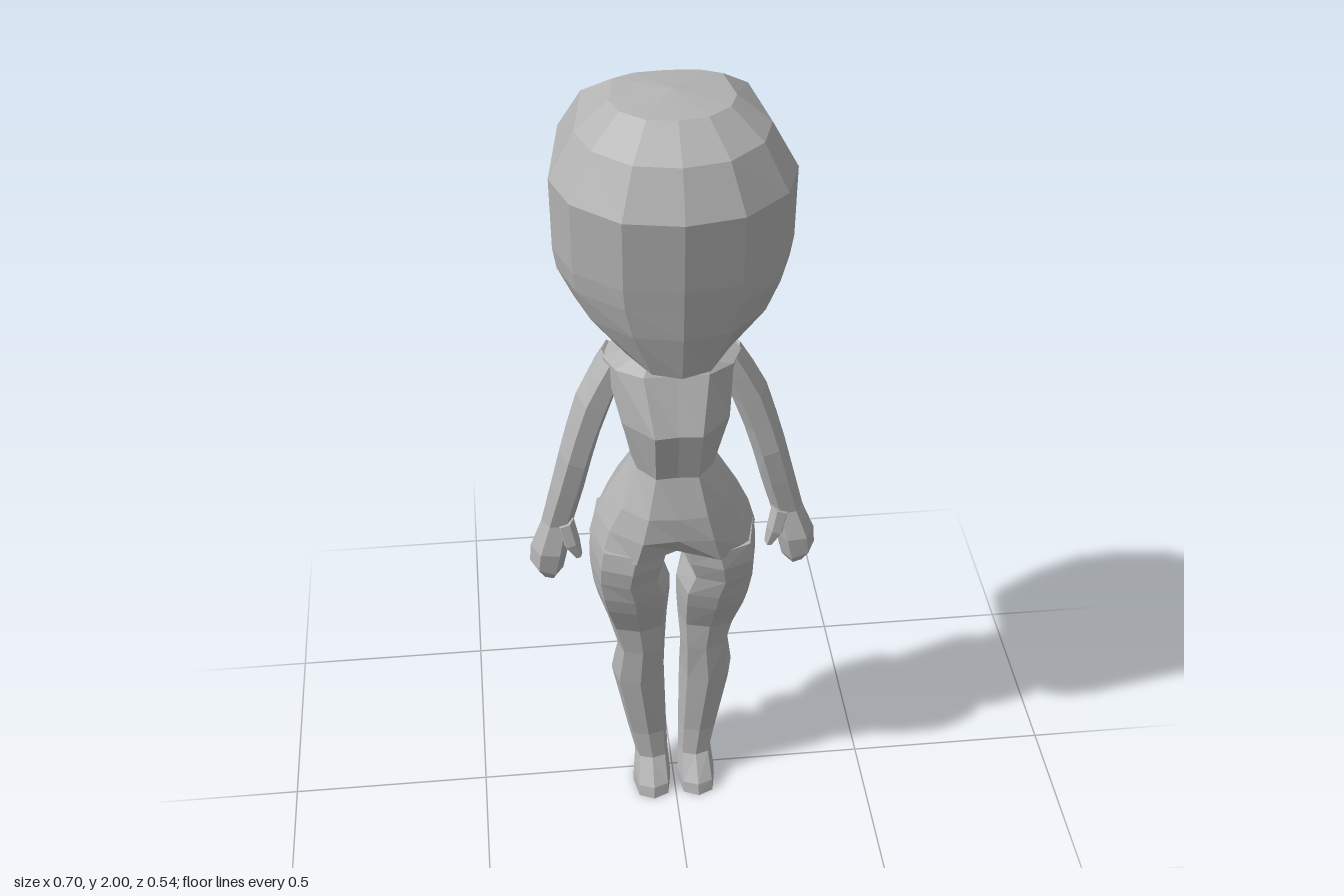
import * as THREE from 'three';

// Faceted skin through closed rings of [x, y, z] points, capped at both ends.
function loft(rings, capLift = 0) {
  const n = rings[0].length;
  const tris = [];
  for (let i = 0; i < rings.length - 1; i++) {
    for (let j = 0; j < n; j++) {
      const k = (j + 1) % n;
      const a = rings[i][j], b = rings[i][k], c = rings[i + 1][k], d = rings[i + 1][j];
      tris.push([a, b, c], [a, c, d]);
    }
  }
  const first = rings[0], last = rings[rings.length - 1];
  const middle = (ring) => [0, 1, 2].map((k) => ring.reduce((s, p) => s + p[k], 0) / n);
  const m0 = middle(first), m1 = middle(last);
  m0[1] += capLift;
  for (let j = 0; j < n; j++) {
    const k = (j + 1) % n;
    tris.push([m0, first[k], first[j]], [m1, last[j], last[k]]);
  }
  // Turn the faces outward whichever way the rings run
  const v = (p) => new THREE.Vector3(...p);
  const volume = tris.reduce((s, [a, b, c]) => s + v(a).dot(v(b).cross(v(c))), 0);
  if (volume < 0) tris.forEach((t) => t.reverse());
  const geometry = new THREE.BufferGeometry();
  geometry.setAttribute('position', new THREE.Float32BufferAttribute(tris.flat(2), 3));
  geometry.computeVertexNormals();
  return geometry;
}

// Half outline from front centre to back centre, mirrored into a full ring
function mirrored(half) {
  const other = half.slice(1, -1).reverse().map(([x, y, z]) => [-x, y, z]);
  return [...half, ...other];
}

// Limb ring between an outer and an inner point, with front and back depth
function limbRing(sides, side, [xo, yo, xi, yi, zf, zb]) {
  const fit = sides === 6 ? Math.sin(Math.PI / 3) : 1;
  return Array.from({ length: sides }, (_, i) => {
    const a = (i / sides) * Math.PI * 2;
    const c = Math.cos(a) / 2, s = Math.sin(a) / 2 / fit;
    // Slightly squared diagonals on eight-sided limbs
    const f = sides === 8 && i % 2 ? 1.1 : 1;
    return [
      side * ((xo + xi) / 2 + c * f * (xo - xi)),
      (yo + yi) / 2 + c * f * (yo - yi),
      (zf + zb) / 2 + s * f * (zf - zb),
    ];
  });
}

export function createModel() {
  const group = new THREE.Group();
  const grey = new THREE.MeshStandardMaterial({ color: 0xb3b3b3 });
  grey.name = 'plain grey';
  const add = (name, geometry) => {
    const mesh = new THREE.Mesh(geometry, grey);
    mesh.name = name;
    group.add(mesh);
  };

  // Head: one outline, rounder in front, scaled at each level
  const outline = [[0, 1], [0.48, 0.91], [0.86, 0.57], [1, 0.15], [0.87, -0.75], [0.52, -0.95], [0, -1]];
  const headLevels = [ // y, half width, front z, back depth, tilt
    [1.985, 0.135, 0.125, 0.11, 0],
    [1.925, 0.21, 0.215, 0.205, 0],
    [1.82, 0.268, 0.268, 0.27, 0],
    [1.65, 0.265, 0.255, 0.265, 0],
    [1.6, 0.257, 0.25, 0.26, 0],
    [1.525, 0.222, 0.243, 0.245, 0],
    [1.44, 0.135, 0.22, 0.13, -0.13],
  ];
  add('head', loft(headLevels.map(([y, w, f, b, tilt]) => mirrored(outline.map(([x, z]) => {
    const depth = z * (z > 0 ? f : b);
    return [x * w, y + tilt * depth, depth];
  }))), 0.015));

  // Neck
  const neck = [[1.48, 0.062], [1.39, 0.062], [1.34, 0.085]];
  add('neck', loft(neck.map(([y, w]) => limbRing(8, 1, [w, y, -w, y, 0.01 + w, 0.01 - w]))));

  // Torso: half outlines from the front centre round to the back centre
  const torso = [
    [1.36, [0, 0.08], [0.06, 0.08], [0.085, 0.04], [0.09, 0], [0.08, -0.05], [0.05, -0.07], [0, -0.07]],
    [1.335, [0, 0.1], [0.075, 0.1], [0.135, 0.06], [0.16, 0], [0.14, -0.06], [0.07, -0.08], [0, -0.08]],
    [1.205, [0, 0.155], [0.055, 0.16], [0.125, 0.085], [0.13, 0], [0.115, -0.06], [0.06, -0.085], [0, -0.08]],
    [1.065, [0, 0.122], [0.05, 0.125], [0.09, 0.075], [0.1, 0.02], [0.08, -0.03], [0.045, -0.05], [0, -0.045]],
    [0.965, [0, 0.155], [0.07, 0.15], [0.13, 0.1], [0.155, 0.01], [0.125, -0.07], [0.07, -0.1], [0, -0.09]],
    [0.9, [0, 0.155], [0.085, 0.16], [0.16, 0.1], [0.185, 0.01], [0.15, -0.09], [0.085, -0.13], [0, -0.1]],
    [0.835, [0, 0.11], [0.1, 0.155], [0.178, 0.11], [0.203, 0.01], [0.178, -0.09], [0.1, -0.13], [0, -0.08]],
  ];
  add('torso', loft(torso.map(([y, ...half]) => mirrored(half.map(([x, z]) => [x, y, z])))));

  // Legs and feet: y, outer x, inner x, front z, back z
  const leg = [
    [0.85, 0.198, 0.002, 0.15, -0.125], [0.8, 0.204, 0.015, 0.154, -0.13],
    [0.75, 0.204, 0.028, 0.142, -0.108], [0.69, 0.197, 0.008, 0.128, -0.078],
    [0.64, 0.187, 0.008, 0.112, -0.078], [0.55, 0.162, 0.014, 0.074, -0.068],
    [0.47, 0.14, 0.02, 0.069, -0.04], [0.36, 0.155, 0.02, 0.066, -0.095],
    [0.17, 0.118, 0.016, 0.056, -0.056], [0.09, 0.1, 0.014, 0.062, -0.03],
    [0.03, 0.107, 0.01, 0.115, -0.025], [0, 0.108, 0.01, 0.124, -0.028],
  ];

  // Arms and hands: outer x, y, inner x, y, front z, back z
  const arm = [
    [0.16, 1.34, 0.1, 1.3, 0.035, -0.075], [0.19, 1.29, 0.115, 1.265, 0.04, -0.078],
    [0.223, 1.23, 0.14, 1.2, 0.045, -0.065], [0.248, 1.15, 0.17, 1.12, 0.05, -0.055],
    [0.268, 1.08, 0.192, 1.05, 0.055, -0.04], [0.293, 0.98, 0.213, 0.97, 0.05, -0.025],
    [0.318, 0.88, 0.242, 0.87, 0.042, -0.012], [0.347, 0.81, 0.255, 0.8, 0.063, -0.022],
    [0.35, 0.765, 0.27, 0.735, 0.06, -0.015], [0.327, 0.73, 0.285, 0.716, 0.045, 0],
  ];
  const thumb = [
    [0.285, 0.875, 0.24, 0.89, 0.05, 0.005], [0.27, 0.82, 0.228, 0.835, 0.06, 0.015],
    [0.243, 0.785, 0.223, 0.79, 0.055, 0.025],
  ];
  for (const [label, side] of [['left', 1], ['right', -1]]) {
    add(label + 'Leg', loft(leg.map(([y, xo, xi, f, b]) => limbRing(8, side, [xo, y, xi, y, f, b]))));
    add(label + 'Arm', loft(arm.map((row) => limbRing(6, side, row))));
    add(label + 'Thumb', loft(thumb.map((row) => limbRing(6, side, row))));
  }
  return group;
}
